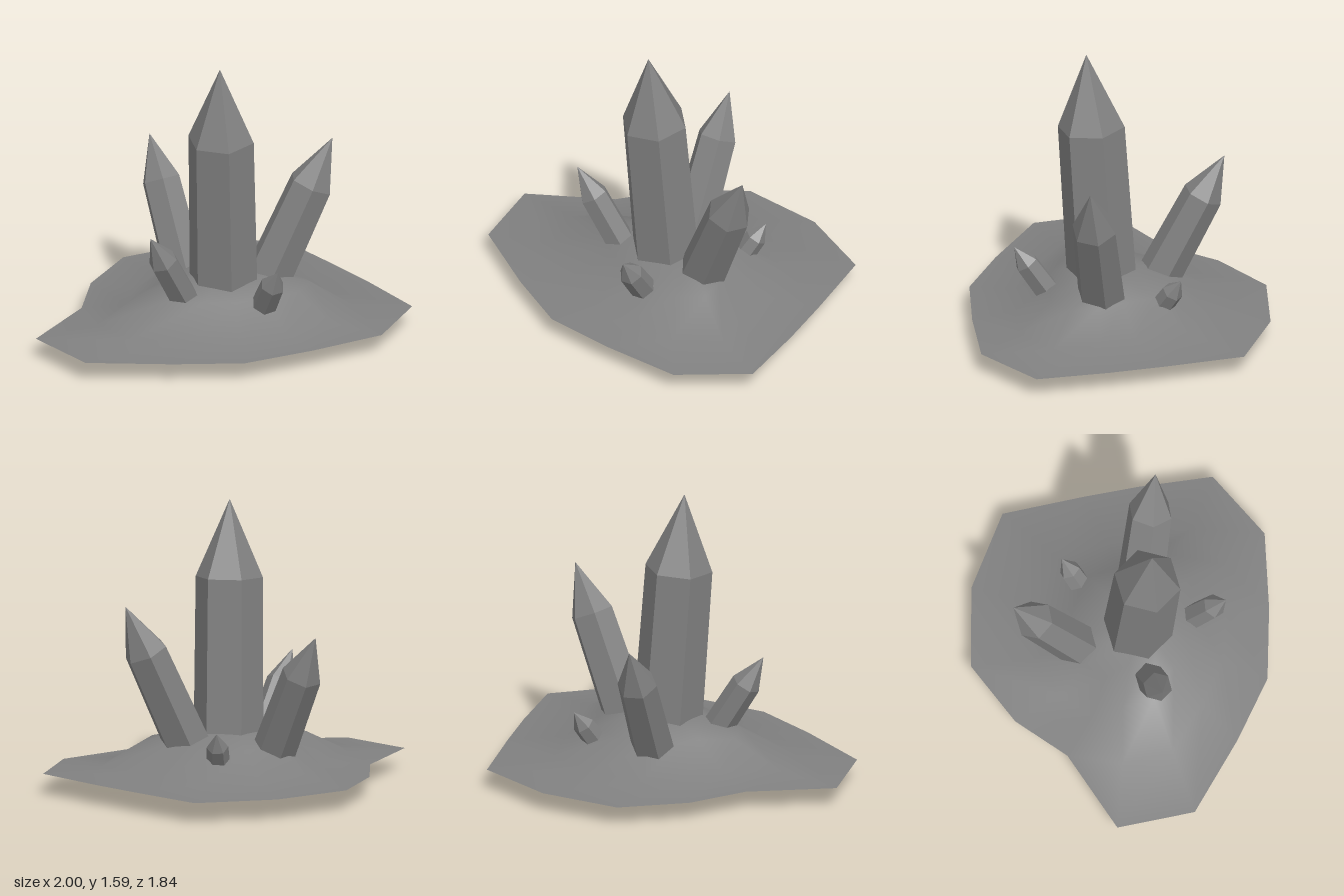
import * as THREE from 'three';

const stone = new THREE.MeshStandardMaterial({ color: 0x808080, flatShading: true });
stone.name = 'grey crystal';
const ground = new THREE.MeshStandardMaterial({ color: 0x808080, side: THREE.DoubleSide });
ground.name = 'grey rock';

// Six-sided crystal from base to tip: chamfered foot, slightly tapering shaft, pointed top
function crystal(name, base, tip, rFoot, rTop, pointLength, twist) {
  const a = new THREE.Vector3(...base);
  const axis = new THREE.Vector3(...tip).sub(a);
  const length = axis.length();
  const profile = [
    [0, 0], [rFoot * 0.8, 0], [rFoot, 0.05], [rTop, length - pointLength], [0, length],
  ].map(([r, y]) => new THREE.Vector2(r, y));
  const geometry = new THREE.LatheGeometry(profile, 6, THREE.MathUtils.degToRad(twist));
  const mesh = new THREE.Mesh(geometry, stone);
  mesh.name = name;
  mesh.position.copy(a);
  mesh.quaternion.setFromUnitVectors(new THREE.Vector3(0, 1, 0), axis.normalize());
  return mesh;
}

// Irregular outline shrunk ring by ring up to a low rounded peak, open underneath
function mound() {
  const outline = [
    [1, -0.08], [0.88, 0.34], [0.53, 0.6], [0.18, 0.82], [-0.21, 0.88], [-0.69, 0.915], [-1, 0.61],
    [-0.8, 0.15], [-0.79, -0.2], [-0.655, -0.58], [-0.27, -0.83], [0.185, -0.925], [0.51, -0.61], [0.73, -0.385],
  ];
  // [x scale, z scale, z shift, height]
  const rings = [[1, 1, 0, 0.12], [0.68, 0.63, 0.05, 0.147], [0.45, 0.38, 0.05, 0.283], [0.22, 0.2, 0.06, 0.33]];
  const n = outline.length;
  const position = [];
  const index = [];
  for (const [sx, sz, dz, y] of rings) {
    for (const [x, z] of outline) position.push(x * sx, y, z * sz + dz);
  }
  const peak = rings.length * n;
  position.push(0, 0.345, 0.07);
  for (let r = 0; r < rings.length; r++) {
    for (let i = 0; i < n; i++) {
      const j = (i + 1) % n;
      const a = r * n + i;
      const b = r * n + j;
      if (r === rings.length - 1) index.push(a, peak, b);
      else index.push(a, a + n, b, b, a + n, b + n);
    }
  }
  const geometry = new THREE.BufferGeometry();
  geometry.setAttribute('position', new THREE.Float32BufferAttribute(position, 3));
  // corners run clockwise seen from above, so reverse them to face up
  for (let k = 0; k < index.length; k += 3) [index[k + 1], index[k + 2]] = [index[k + 2], index[k + 1]];
  for (let k = 0; k < index.length; k += 3) [index[k], index[k + 1]] = [index[k + 1], index[k]];
  geometry.setIndex(index);
  geometry.computeVertexNormals();
  const mesh = new THREE.Mesh(geometry, ground);
  mesh.name = 'rockMound';
  return mesh;
}

export function createModel() {
  const group = new THREE.Group();
  group.name = 'crystalCluster';
  group.add(
    mound(),
    crystal('centreCrystal', [-0.02, 0.04, 0.08], [-0.03, 1.6, 0.2], 0.195, 0.187, 0.43, 20),
    crystal('leftCrystal', [0.11, 0.05, 0], [0.55, 1.07, -0.16], 0.14, 0.125, 0.29, 10),
    crystal('backRightCrystal', [-0.2, 0.05, -0.05], [-0.49, 0.94, -0.41], 0.125, 0.112, 0.26, 15),
    crystal('frontRightCrystal', [-0.13, 0.045, 0.2], [-0.38, 0.7, 0.5], 0.088, 0.082, 0.19, 20),
    crystal('frontLeftCrystal', [0.15, 0.045, 0.19], [0.32, 0.51, 0.455], 0.078, 0.068, 0.12, 10),
    crystal('backCrystal', [0.03, 0.05, -0.2], [0.055, 0.41, -0.45], 0.07, 0.06, 0.1, 30),
  );
  return group;
}
